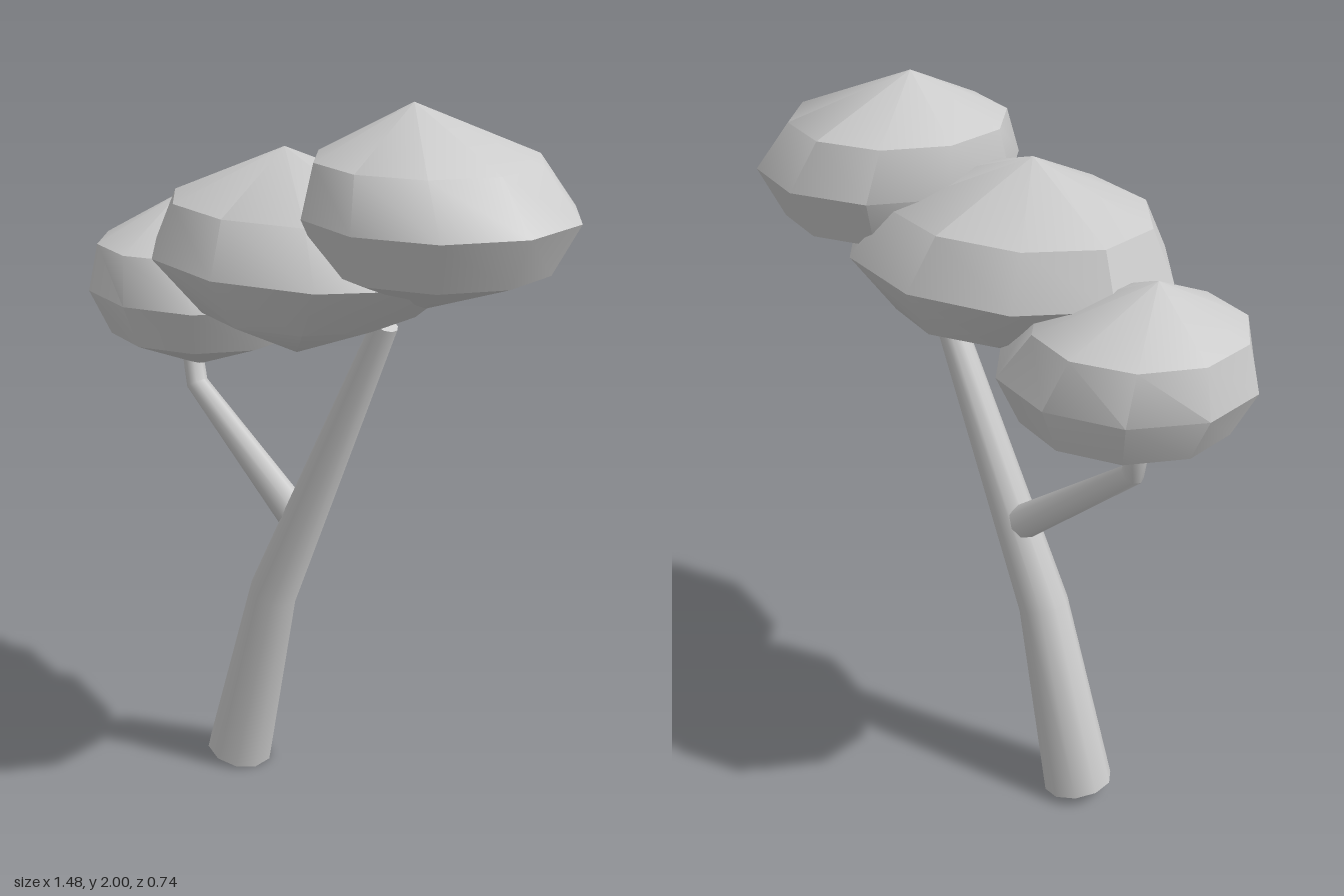
import * as THREE from 'three';
import { toCreasedNormals } from 'three/addons/utils/BufferGeometryUtils.js';

const material = new THREE.MeshStandardMaterial({ color: 0xcccccc });

// Turn a profile into a lathe, then move every row of vertices by a rule
function lathe(profile, sides, crease, moveRow) {
  const geo = new THREE.LatheGeometry(profile.map(([r, y]) => new THREE.Vector2(r, y)), sides);
  const pos = geo.attributes.position;
  const v = new THREE.Vector3();
  for (let i = 0; i < pos.count; i++) {
    v.fromBufferAttribute(pos, i);
    moveRow(v, i % profile.length);
    pos.setXYZ(i, v.x, v.y, v.z);
  }
  return toCreasedNormals(geo, crease);
}

// Tapered, bent limb with closed ends; points are [x, y, z, radius]
function limb(name, points, sides) {
  const centres = points.map(([x, y, z]) => new THREE.Vector3(x, y, z));
  const up = new THREE.Vector3(0, 1, 0);
  const last = points.length - 1;
  const turns = centres.map((c, i) => {
    const dir = new THREE.Vector3();
    if (i > 0) dir.add(c.clone().sub(centres[i - 1]).normalize());
    if (i < last) dir.add(centres[i + 1].clone().sub(c).normalize());
    return new THREE.Quaternion().setFromUnitVectors(up, dir.normalize());
  });
  const profile = [[0, 0], ...points.map((p) => [p[3], 0]), [0, 0]];
  const geo = lathe(profile, sides, 0.95, (v, row) => {
    const i = THREE.MathUtils.clamp(row - 1, 0, last);
    v.applyQuaternion(turns[i]).add(centres[i]);
  });
  const mesh = new THREE.Mesh(geo, material);
  mesh.name = name;
  return mesh;
}

// Faceted foliage; rows run from bottom to top as [centre x, y, radius in z]
function foliage(name, z, stretch, rows) {
  const profile = rows.map(([, y, r]) => [r, y]);
  const geo = lathe(profile, 10, 0.65, (v, row) => {
    v.x = v.x * stretch[row] + rows[row][0];
    v.z += z;
  });
  const mesh = new THREE.Mesh(geo, material);
  mesh.name = name;
  return mesh;
}

export function createModel() {
  const tree = new THREE.Group();
  tree.name = 'tree';

  // Leaning trunk and its side branch
  tree.add(limb('trunk', [
    [-0.27, 0.024, -0.013, 0.098],
    [-0.133, 0.58, -0.015, 0.07],
    [0.25, 1.44, -0.018, 0.035],
  ], 10));
  tree.add(limb('branch', [
    [-0.075, 0.832, -0.035, 0.048],
    [-0.45, 1.13, -0.05, 0.031],
    [-0.467, 1.215, -0.052, 0.029],
  ], 8));

  // Three flattened crowns, their tops pulled towards -x
  tree.add(foliage('upperFoliage', -0.025, [1, 1, 1, 1, 1], [
    [0.37, 1.5, 0],
    [0.4, 1.615, 0.285],
    [0.407, 1.745, 0.347],
    [0.367, 1.872, 0.285],
    [0.32, 2, 0],
  ]));
  tree.add(foliage('middleFoliage', 0, [1, 1, 1.26, 1.28, 1], [
    [-0.03, 1.315, 0],
    [0.018, 1.45, 0.287],
    [0.01, 1.585, 0.367],
    [-0.02, 1.72, 0.293],
    [-0.07, 1.855, 0],
  ]));
  tree.add(foliage('lowerFoliage', -0.06, [1, 1.05, 1.08, 1, 1], [
    [-0.45, 1.185, 0],
    [-0.425, 1.297, 0.258],
    [-0.425, 1.42, 0.311],
    [-0.465, 1.545, 0.266],
    [-0.51, 1.67, 0],
  ]));
  return tree;
}
